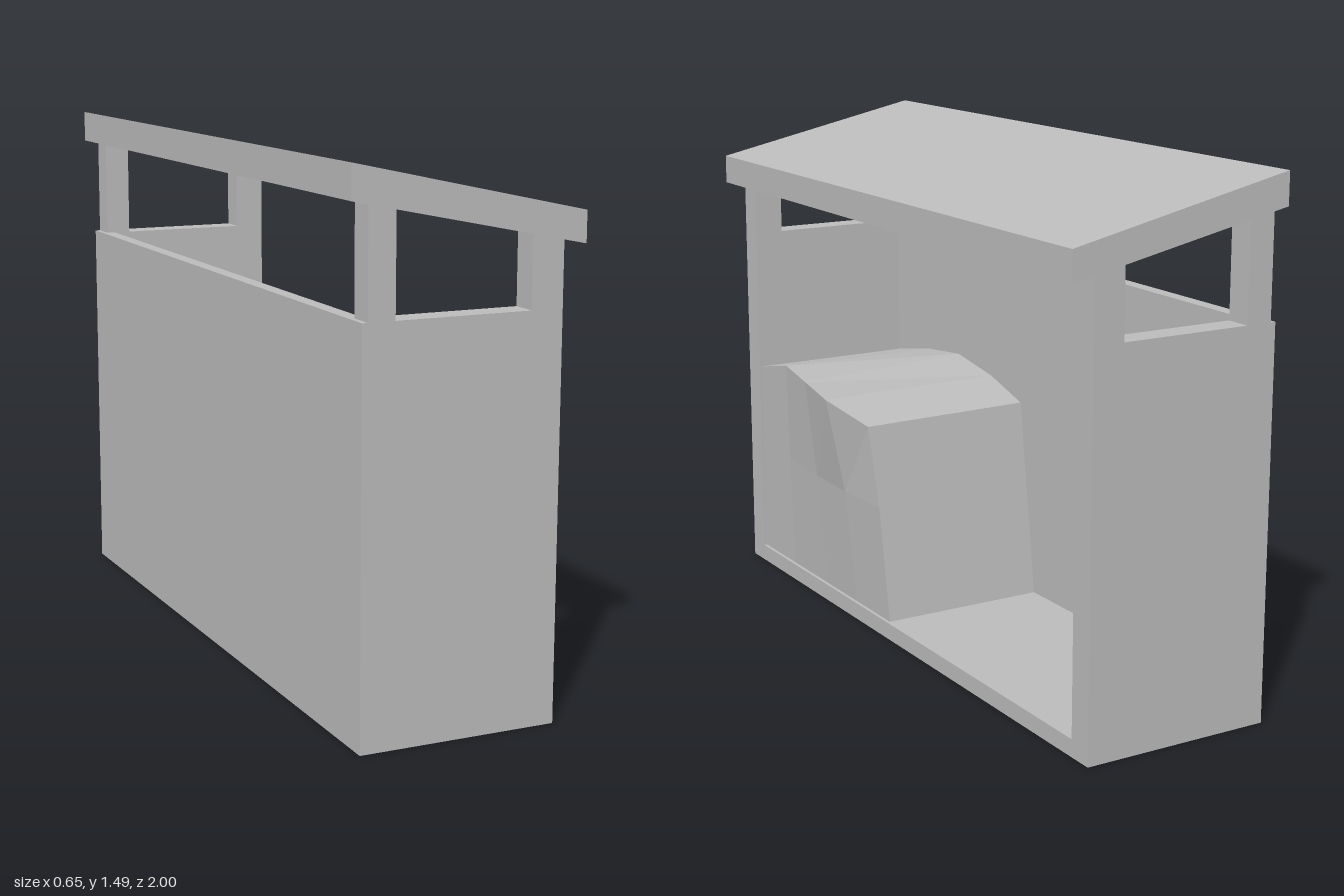
import * as THREE from 'three';

export function createModel() {
  const model = new THREE.Group();
  const grey = new THREE.MeshStandardMaterial({ color: 0xbbbbbb, flatShading: true });

  const add = (name, geometry) => {
    const mesh = new THREE.Mesh(geometry, grey);
    mesh.name = name;
    model.add(mesh);
  };
  // Extrude an x/y outline between two z positions
  const prism = (name, points, z0, z1) => {
    const shape = new THREE.Shape(points.map(p => new THREE.Vector2(p[0], p[1])));
    const geometry = new THREE.ExtrudeGeometry(shape, { depth: z1 - z0, bevelEnabled: false });
    add(name, geometry.translate(0, 0, z0));
  };
  const rect = (x0, x1, y0, y1) => [[x0, y0], [x1, y0], [x1, y1], [x0, y1]];

  // Sloped underside and top of the roof
  const under = x => 1.395 - (x + 0.33) * 0.206;
  const top = x => 1.487 - (x + 0.33) * 0.217;
  const mid = x => under(x) + 0.045;
  const sloped = (x0, x1, low, high) => [[x0, low(x0)], [x1, low(x1)], [x1, high(x1)], [x0, high(x0)]];

  // Box: floor, back wall, end walls
  const wall = 0.075;
  prism('floor', rect(-0.26, 0.26, 0, 0.05), -1 + wall, 1 - wall);
  prism('backWall', rect(-0.3, -0.26, 0, 1.1), -1 + wall, 1 - wall);
  for (const s of [1, -1]) {
    const z0 = s > 0 ? 1 - wall : -1, z1 = z0 + wall;
    // End wall rises into the front post
    prism('endWall', [
      [-0.3, 0], [0.26, 0], [0.26, under(0.26)], [0.17, under(0.17)], [0.17, 1.1], [-0.3, 1.1],
    ], z0, z1);
    prism('backPost', sloped(-0.285, -0.21, () => 1.1, under), z0, z1);
    prism('roofEndRim', sloped(-0.33, 0.325, under, mid), z0, z1);
  }

  // Roof panel and long rims around the recessed underside
  prism('roofPanel', sloped(-0.33, 0.325, mid, top), -1, 1);
  prism('roofBackRim', sloped(-0.33, -0.21, under, mid), -1 + wall, 1 - wall);
  prism('roofFrontRim', sloped(0.26, 0.325, under, mid), -1 + wall, 1 - wall);

  // Faceted heap: each section runs base, middle, front crest, back crest, back base
  const sections = [
    // zBase, zMid, zTop, xMid, xTop, yFront, yBack
    [0.925, 0.925, 0.925, 0.25, 0.25, 0.66, 0.66],
    [0.71, 0.71, 0.72, 0.26, 0.262, 0.705, 0.70],
    [0.48, 0.5, 0.53, 0.27, 0.29, 0.695, 0.72],
    [0.28, 0.3, 0.33, 0.275, 0.32, 0.685, 0.69],
    [0.07, 0.1, 0.155, 0.265, 0.27, 0.635, 0.64],
  ].map(([zb, zm, zt, xm, xt, yf, yb]) => [
    [0.25, 0.05, zb], [xm, 0.4, zm], [xt, yf, zt], [-0.26, yb, zt], [-0.26, 0.05, zb],
  ]);
  const verts = [];
  const tri = (a, b, c) => verts.push(...a, ...b, ...c);
  for (let i = 0; i < sections.length - 1; i++) {
    const a = sections[i], b = sections[i + 1];
    for (let j = 0; j < 4; j++) {
      tri(a[j], b[j], b[j + 1]);
      tri(a[j], b[j + 1], a[j + 1]);
    }
  }
  // Close both ends of the heap
  const first = sections[0], last = sections[sections.length - 1];
  for (let j = 1; j < 4; j++) {
    tri(first[0], first[j], first[j + 1]);
    tri(last[0], last[j + 1], last[j]);
  }
  const heap = new THREE.BufferGeometry();
  heap.setAttribute('position', new THREE.Float32BufferAttribute(verts, 3));
  heap.computeVertexNormals();
  add('heap', heap);

  return model;
}
